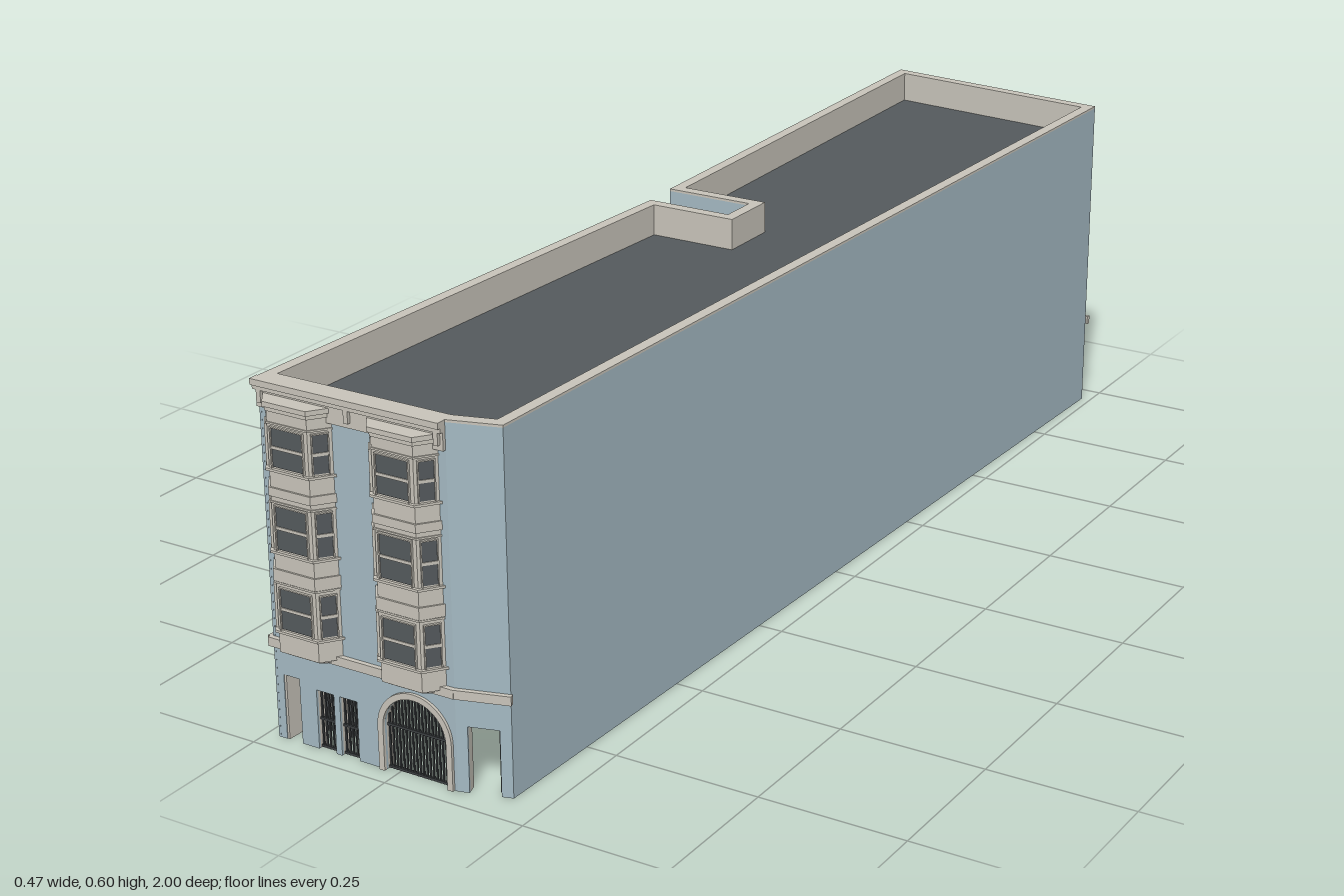
import * as THREE from 'three';

const mat = (name, color) => Object.assign(new THREE.MeshStandardMaterial({ color }), { name });
const BLUE = mat('blue wall', 0xa3b8c1), CREAM = mat('cream trim', 0xc7c3b9);
const DARK = mat('slate roof and glass', 0x54595c), IRON = mat('dark iron', 0x3b3e40);
const T = 0.02, WALL_TOP = 0.592, TOP = 0.596, ROOF = 0.542;

// Footprint corners as [x, z]; each wall runs from one corner to the next
const PLAN = [[-0.228, 0.965], [0.11, 0.965], [0.193, 0.94], [0.233, -0.955], [-0.205, -0.995],
  [-0.185, -0.105], [-0.025, -0.105], [-0.025, -0.035], [-0.18, -0.035]];

function add(parent, name, geo, material) {
  const m = new THREE.Mesh(geo, material);
  m.name = name;
  parent.add(m);
  return m;
}

// Box given by its limits
function box(parent, name, material, x0, x1, y0, y1, z0, z1) {
  const m = add(parent, name, new THREE.BoxGeometry(x1 - x0, y1 - y0, z1 - z0), material);
  m.position.set((x0 + x1) / 2, (y0 + y1) / 2, (z0 + z1) / 2);
  return m;
}

// Group with x along a to b, y up and z pointing outward
function along(parent, name, a, b) {
  const g = new THREE.Group();
  g.name = name;
  g.position.set(a[0], 0, a[1]);
  g.rotation.y = Math.atan2(a[1] - b[1], b[0] - a[0]);
  parent.add(g);
  return g;
}

const dist = (a, b) => Math.hypot(b[0] - a[0], b[1] - a[1]);
const planShape = pts => new THREE.Shape(pts.map(([x, z]) => new THREE.Vector2(x, -z)));

// Upright prism over a plan shape
function prism(parent, name, material, shape, y0, y1) {
  const geo = new THREE.ExtrudeGeometry(shape, { depth: y1 - y0, bevelEnabled: false });
  geo.rotateX(-Math.PI / 2).translate(0, y0, 0);
  return add(parent, name, geo, material);
}

function inset(pts, d) {
  const n = pts.length;
  const normal = i => {
    const a = pts[(i + n) % n], b = pts[(i + 1) % n], l = dist(a, b);
    return [(a[1] - b[1]) / l, (b[0] - a[0]) / l];
  };
  return pts.map((p, i) => {
    const u = normal(i - 1), v = normal(i), k = d / (1 + u[0] * v[0] + u[1] * v[1]);
    return [p[0] - k * (u[0] + v[0]), p[1] - k * (u[1] + v[1])];
  });
}

// Wall outline with openings [x0, x1, height, arched] rising from the ground
function wallShape(x0, x1, top, openings) {
  const s = new THREE.Shape();
  s.moveTo(x0, 0);
  for (const [a, b, h, arched] of openings) {
    s.lineTo(a, 0);
    s.lineTo(a, h);
    if (arched) s.absarc((a + b) / 2, h, (b - a) / 2, Math.PI, 0, true);
    else s.lineTo(b, h);
    s.lineTo(b, 0);
  }
  s.lineTo(x1, 0);
  s.lineTo(x1, top);
  s.lineTo(x0, top);
  return s;
}

// Blue outer skin and cream lining
function wall(g, length, openings, ext0, ext1) {
  const skin = new THREE.ExtrudeGeometry(wallShape(0, length, WALL_TOP, openings), { depth: 0.004, bevelEnabled: false });
  add(g, 'wallSkin', skin.translate(0, 0, -0.004), BLUE);
  const lining = new THREE.ExtrudeGeometry(
    wallShape(ext0 ? -T : 0.002, length + (ext1 ? T : -0.002), WALL_TOP, openings), { depth: T - 0.004, bevelEnabled: false });
  add(g, 'wallLining', lining.translate(0, 0, -T), CREAM);
}

// Dark door leaf swung inward
function openDoor(g, x, w, h) {
  box(g, 'doorLeaf', DARK, x - 0.0015, x + 0.0015, 0.002, h, -T - w, -0.008);
}

// Glass, frame, meeting rail, optional mullion and sill
function sash(g, cx, y0, y1, w, { f = 0.003, mullion = true, sill = true } = {}) {
  const a = cx - w / 2, b = cx + w / 2, m = (y0 + y1) / 2;
  box(g, 'glass', DARK, a, b, y0, y1, 0, 0.0015);
  box(g, 'frameLeft', CREAM, a - f, a, y0 - f, y1 + f, 0, 0.004);
  box(g, 'frameRight', CREAM, b, b + f, y0 - f, y1 + f, 0, 0.004);
  box(g, 'frameHead', CREAM, a, b, y1, y1 + f, 0, 0.004);
  box(g, 'meetingRail', CREAM, a, b, m - 0.0025, m + 0.0025, 0, 0.003);
  if (mullion) box(g, 'mullion', CREAM, cx - 0.0015, cx + 0.0015, y0, y1, 0, 0.003);
  if (sill) box(g, 'sill', CREAM, a - 0.006, b + 0.006, y0 - 0.006, y0, 0, 0.007);
}

// Three-sided bay with bands, sills and windows
function bay(parent, cx) {
  const g = new THREE.Group();
  g.name = 'bayWindow';
  g.position.set(cx, 0, 0);
  parent.add(g);
  const section = k => [[-0.06 - k, 0], [-0.037 - k * 0.6, 0.029 + k], [0.037 + k * 0.6, 0.029 + k], [0.06 + k, 0]];
  const ring = (name, k, y0, y1) => prism(g, name, CREAM, planShape(section(k)), y0, y1);
  ring('bayFoot', -0.018, 0.155, 0.16);
  ring('bayFoot', -0.009, 0.16, 0.166);
  ring('bayBody', 0, 0.166, 0.571);
  for (const [y0, y1] of [[0.285, 0.305], [0.423, 0.437]]) ring('bayBand', 0.003, y0, y1);
  for (const y of [0.2, 0.331, 0.464]) ring('baySill', 0.005, y, y + 0.004);
  for (const y of [0.281, 0.412, 0.538]) ring('bayHead', 0.002, y, y + 0.003);
  ring('bayCornice', 0.002, 0.558, 0.565);
  ring('bayCornice', 0.005, 0.565, 0.573);
  const pts = section(0);
  for (let i = 0; i < 3; i++) {
    const face = along(g, 'bayFace', pts[i], pts[i + 1]), l = dist(pts[i], pts[i + 1]);
    for (const [y0, y1] of [[0.207, 0.274], [0.338, 0.408], [0.471, 0.533]])
      sash(face, l / 2, y0, y1, i === 1 ? 0.057 : 0.023, { f: 0.002, mullion: false, sill: false });
  }
}

// Iron bars with cross rails in an opening
function grille(g, name, x0, x1, n, topAt, rails) {
  const s = new THREE.Group();
  s.name = name;
  g.add(s);
  for (let i = 0; i < n; i++) {
    const x = x0 + (x1 - x0) * (i + 0.5) / n;
    box(s, 'bar', IRON, x - 0.0013, x + 0.0013, 0, topAt(x), -0.01, -0.007);
  }
  for (const y of rails) box(s, 'rail', IRON, x0, x1, y - 0.002, y + 0.002, -0.011, -0.006);
}

export function createModel() {
  const model = new THREE.Group();
  model.name = 'apartmentBuilding';
  const n = PLAN.length;
  const names = ['frontWall', 'cornerWall', 'plainSideWall', 'backWall', 'sideWallBack',
    'lightwellBack', 'lightwellEnd', 'lightwellFront', 'sideWallFront'];
  const len = PLAN.map((p, i) => dist(p, PLAN[(i + 1) % n]));
  const door = (i, f, w) => [len[i] * f - w / 2, len[i] * f + w / 2, 0.11];
  const openings = {
    0: [[0.016, 0.046, 0.11], [0.078, 0.111, 0.1], [0.122, 0.155, 0.1], [0.206, 0.322, 0.075, true]],
    1: [[0.018, 0.068, 0.11]],
    3: [door(3, 0.5, 0.045)],
    4: [door(4, 0.5, 0.045)],
    5: [[0.02, 0.06, 0.11]],
    6: [door(6, 0.5, 0.036)],
    8: [door(8, 0.49, 0.045)],
  };
  const walls = PLAN.map((p, i) => {
    const g = along(model, names[i], p, PLAN[(i + 1) % n]);
    wall(g, len[i], openings[i] || [], i === 6 || i === 7, i === 5 || i === 6);
    if ([0, 1, 3, 4, 8].includes(i)) box(g, 'stringCourse', CREAM, -0.004, len[i] + 0.003, 0.157, 0.172, 0, 0.008);
    if (i > 1 && openings[i]) openDoor(g, openings[i][0][0] + 0.002, openings[i][0][1] - openings[i][0][0], 0.108);
    return g;
  });
  openDoor(walls[0], 0.018, 0.03, 0.108);
  openDoor(walls[1], 0.066, 0.045, 0.108);

  // Roof, ceiling and parapet coping
  const inner = inset(PLAN, T);
  prism(model, 'roof', DARK, planShape(inset(PLAN, T - 0.004)), ROOF - 0.008, ROOF);
  prism(model, 'ceiling', CREAM, planShape(inset(PLAN, T - 0.004)), ROOF - 0.012, ROOF - 0.008);
  const coping = planShape(PLAN);
  coping.holes.push(new THREE.Path(inner.map(([x, z]) => new THREE.Vector2(x, -z))));
  prism(model, 'parapetCoping', CREAM, coping, WALL_TOP, TOP);

  // Window grid: wall, first column, step, count, columns with a ground floor window
  for (const [i, first, step, count, ground] of [
    [3, 0.23, 0.27, 3, [0, 2]],
    [4, 0.11, 0.128, 7, [0, 1, 2, 4, 5, 6]],
    [8, 0.093, 0.113, 8, [0, 1, 2, 5, 6, 7]]]) {
    for (let c = 0; c < count; c++) {
      const x = len[i] * (first + step * c);
      for (const y of [0.213, 0.344, 0.475]) sash(walls[i], x, y, y + 0.066, 0.04);
      if (ground.includes(c)) sash(walls[i], x, 0.106, 0.144, 0.042, { mullion: false });
    }
  }

  // Front: bays and cornice
  const front = walls[0], L = len[0];
  for (const x of [0.0735, 0.264]) bay(front, x);
  box(front, 'frieze', CREAM, 0, L, 0.549, 0.578, 0, 0.006);
  box(front, 'cornice', CREAM, -0.002, L, 0.578, 0.586, 0, 0.012);
  box(front, 'cornice', CREAM, -0.002, L, 0.586, TOP, 0, 0.017);
  for (const x of [0.009, 0.169, 0.329]) box(front, 'bracket', CREAM, x - 0.004, x + 0.004, 0.558, 0.578, 0, 0.012);

  // Barred windows and the arched gate
  for (const x of [0.078, 0.122]) {
    grille(front, 'windowGrille', x, x + 0.033, 5, () => 0.1, [0.003, 0.05, 0.098]);
    for (const o of [0.004, 0.019]) box(front, 'windowPane', DARK, x + o, x + o + 0.01, 0.028, 0.09, -0.016, -0.013);
  }
  const cx = 0.264, r = 0.058;
  grille(front, 'archedGate', cx - r, cx + r, 19,
    x => 0.075 + Math.sqrt(r * r - (x - cx) ** 2), [0.003, 0.075]);
  const trim = new THREE.Shape();
  trim.moveTo(cx - 0.068, 0);
  trim.lineTo(cx - 0.068, 0.075);
  trim.absarc(cx, 0.075, 0.068, Math.PI, 0, true);
  trim.lineTo(cx + 0.068, 0);
  trim.lineTo(cx + r, 0);
  trim.lineTo(cx + r, 0.075);
  trim.absarc(cx, 0.075, r, 0, Math.PI, false);
  trim.lineTo(cx - r, 0);
  add(front, 'archTrim', new THREE.ExtrudeGeometry(trim, { depth: 0.005, bevelEnabled: false, curveSegments: 16 }), CREAM);
  return model;
}
